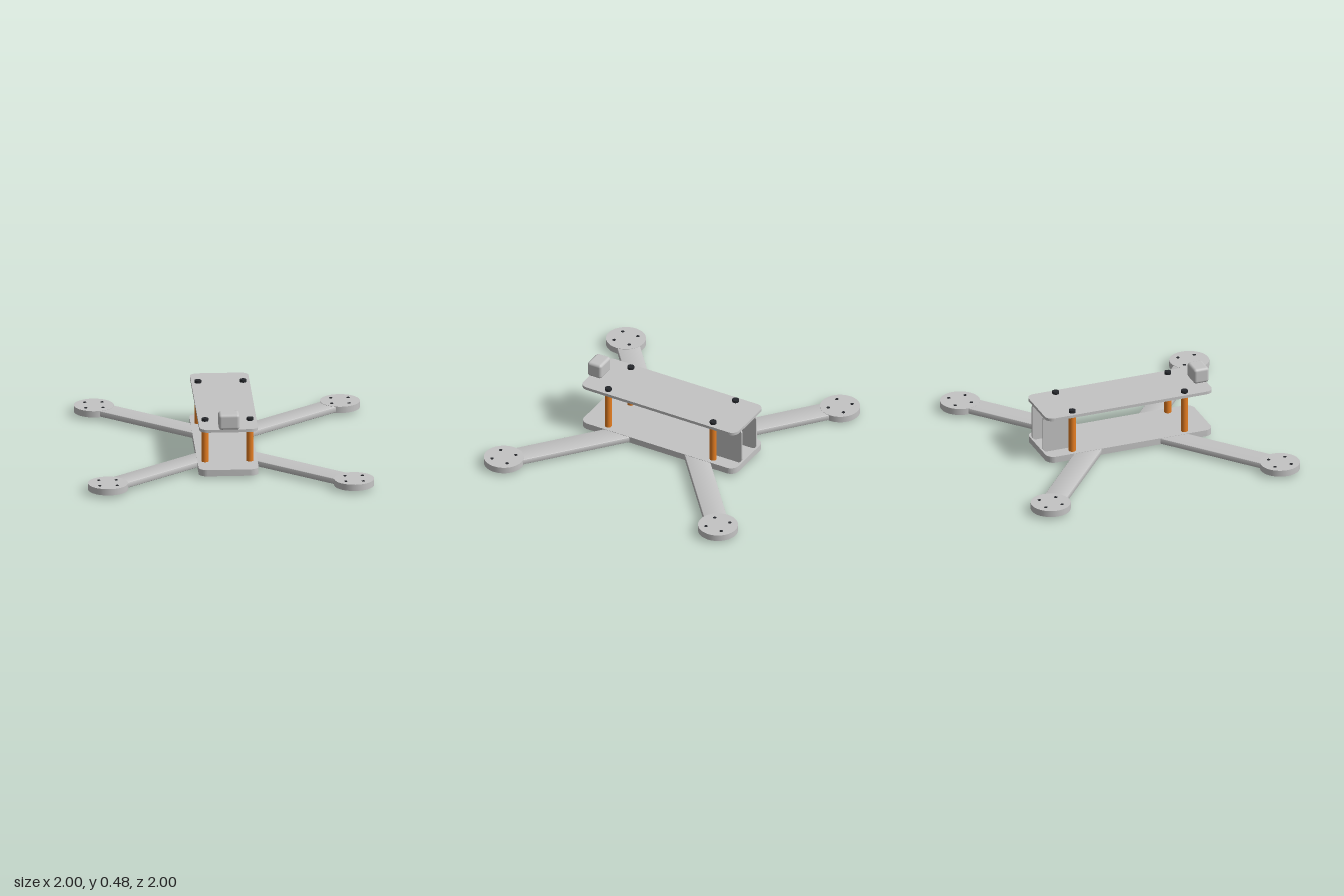
import * as THREE from 'three';
import { RoundedBoxGeometry } from 'three/addons/geometries/RoundedBoxGeometry.js';
import { toCreasedNormals } from 'three/addons/utils/BufferGeometryUtils.js';

const grey = new THREE.MeshStandardMaterial({ color: 0xc4c4c4 });
grey.name = 'lightGrey';
const orange = new THREE.MeshStandardMaterial({ color: 0xe67e22 });
orange.name = 'orange';
const black = new THREE.MeshStandardMaterial({ color: 0x26282c });
black.name = 'black';

function add(parent, name, geometry, material, x = 0, y = 0, z = 0) {
  const mesh = new THREE.Mesh(geometry, material);
  mesh.name = name;
  mesh.position.set(x, y, z);
  parent.add(mesh);
  return mesh;
}

// Rounded rectangle extruded along z, centred on the origin
function roundedPlate(w, h, depth, r) {
  const a = w / 2, b = h / 2, s = new THREE.Shape();
  s.moveTo(-a + r, -b);
  s.lineTo(a - r, -b);
  s.absarc(a - r, -b + r, r, -Math.PI / 2, 0);
  s.absarc(a - r, b - r, r, 0, Math.PI / 2);
  s.absarc(-a + r, b - r, r, Math.PI / 2, Math.PI);
  s.absarc(-a + r, -b + r, r, Math.PI, Math.PI * 1.5);
  const g = new THREE.ExtrudeGeometry(s, { depth, bevelEnabled: false, curveSegments: 8 });
  g.translate(0, 0, -depth / 2);
  return toCreasedNormals(g, 0.6);
}

export function createModel() {
  const model = new THREE.Group();
  model.name = 'quadcopterFrame';

  // Main deck plates
  add(model, 'bottomPlate', roundedPlate(0.42, 1.24, 0.046, 0.06).rotateX(-Math.PI / 2), grey, 0, 0.044, 0);
  add(model, 'topPlate', roundedPlate(0.41, 1.25, 0.021, 0.055).rotateX(-Math.PI / 2), grey, 0, 0.354, 0);

  // Camera on the front edge
  add(model, 'camera', new RoundedBoxGeometry(0.146, 0.112, 0.112, 3, 0.02), grey, 0, 0.42, 0.586);

  const padC = 0.86, rootX = 0.1, rootZ = 0.235;
  const armLength = Math.hypot(padC - rootX, padC - rootZ);
  const armGeo = roundedPlate(0.162, 0.042, armLength, 0.007);
  const padGeo = new THREE.CylinderGeometry(0.14, 0.14, 0.046, 40);
  const screwGeo = new THREE.CylinderGeometry(0.012, 0.012, 0.05, 10);
  const standoffGeo = new THREE.CylinderGeometry(0.025, 0.025, 0.277, 20);
  const boltGeo = new THREE.CylinderGeometry(0.024, 0.024, 0.02, 12);
  const sideGeo = roundedPlate(0.24, 0.277, 0.016, 0.03).rotateY(Math.PI / 2);

  for (const sx of [-1, 1]) {
    const side = sx > 0 ? 'left' : 'right';

    // Upright plates at the rear
    add(model, side + 'RearUpright', sideGeo, grey, sx * 0.102, 0.205, -0.5);

    for (const sz of [-1, 1]) {
      const corner = side + (sz > 0 ? 'Front' : 'Rear');

      // Diagonal arm with its motor mount
      const arm = add(model, corner + 'Arm', armGeo, grey,
        sx * (padC + rootX) / 2, 0.044, sz * (padC + rootZ) / 2);
      arm.rotation.y = Math.atan2(sx * (padC - rootX), sz * (padC - rootZ));
      const mount = new THREE.Group();
      mount.name = corner + 'MotorMount';
      mount.position.set(sx * padC, 0.044, sz * padC);
      model.add(mount);
      add(mount, 'motorPad', padGeo, grey);
      for (const dx of [-0.061, 0.061])
        for (const dz of [-0.061, 0.061]) add(mount, 'motorScrew', screwGeo, black, dx, 0, dz);

      // Standoff with a bolt at each end
      const x = sx * 0.158, z = sz * 0.421;
      add(model, corner + 'Standoff', standoffGeo, orange, x, 0.205, z);
      add(model, corner + 'TopBolt', boltGeo, black, x, 0.373, z);
      add(model, corner + 'BottomBolt', boltGeo, black, x, 0.011, z);
    }
  }
  return model;
}
